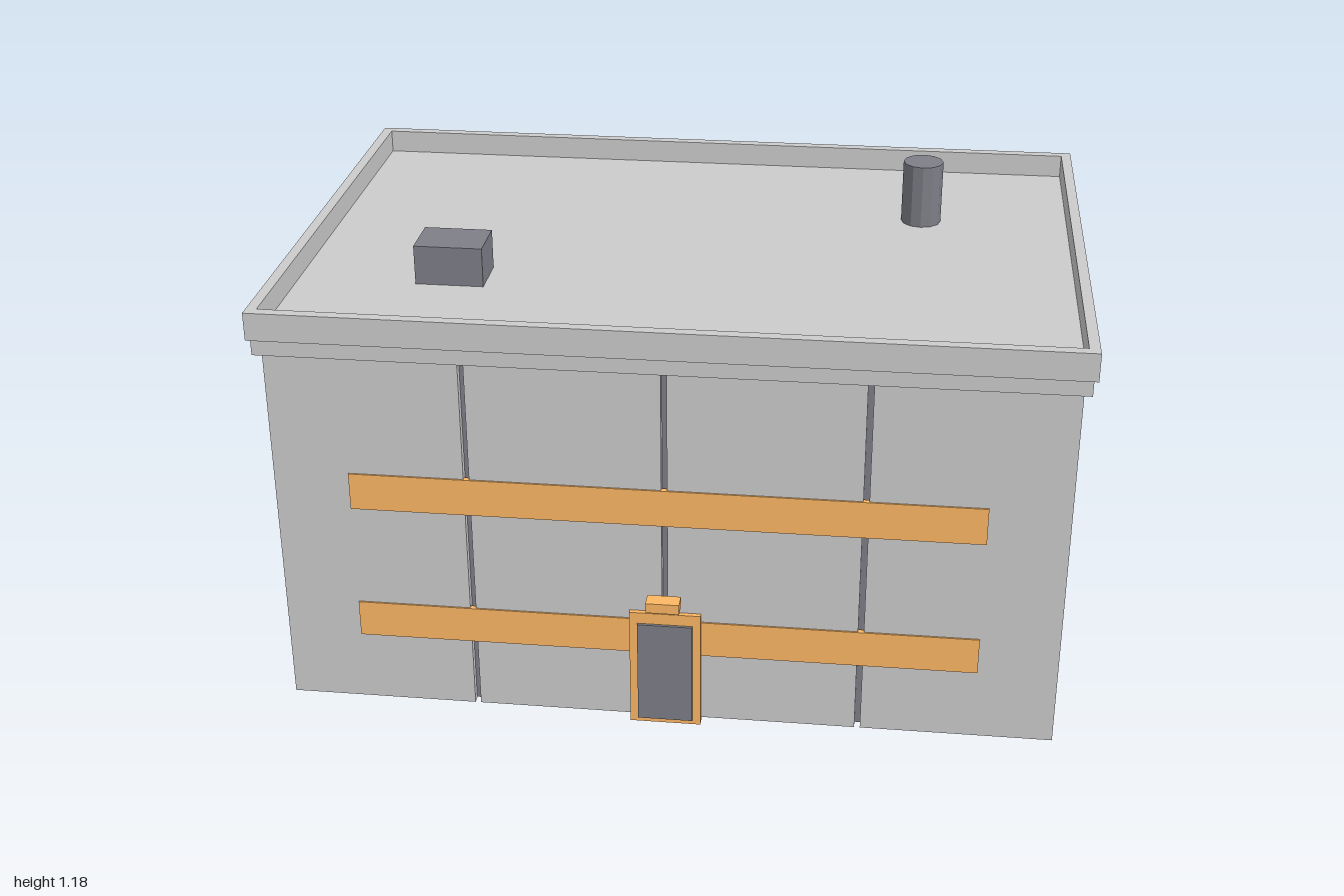
import * as THREE from 'three';

export function createModel() {
  const model = new THREE.Group();
  model.name = 'officeBuilding';
  const light = new THREE.MeshStandardMaterial({ color: 0xcccccc });
  const dark = new THREE.MeshStandardMaterial({ color: 0x7e7f87 });
  const orange = new THREE.MeshStandardMaterial({ color: 0xfdb764 });

  // Box given by its extents on each axis
  function box(name, material, [x0, x1], [y0, y1], [z0, z1], parent = model) {
    const mesh = new THREE.Mesh(new THREE.BoxGeometry(x1 - x0, y1 - y0, z1 - z0), material);
    mesh.position.set((x0 + x1) / 2, (y0 + y1) / 2, (z0 + z1) / 2);
    mesh.name = name;
    parent.add(mesh);
    return mesh;
  }

  const L = -0.94, R = 0.97, B = -0.565, F = 0.71; // outer wall faces
  const T = 0.02, base = 0.015, top = 0.975, seam = 0.007;
  const cx = (L + R) / 2, cz = (B + F) / 2;

  // Dark core that shows through the seams between wall panels
  box('core', dark, [L + T, R - T], [base + 0.002, top], [B + T, F - T]);

  // Splits a wall run into panels at the seams
  function panels(from, to, seams) {
    const edges = [from, ...seams.flatMap((s) => [s - seam, s + seam]), to];
    return edges.filter((_, i) => i % 2 === 0).map((a, i) => [a, edges[2 * i + 1]]);
  }
  for (const run of panels(L, R, [-0.466, 0.012, 0.491])) {
    box('frontWallPanel', light, run, [base, top], [F - T, F]);
    box('backWallPanel', light, run, [base, top], [B, B + T]);
  }
  for (const run of panels(B + T, F - T, [-0.14, 0.287])) {
    box('leftWallPanel', light, [R - T, R], [base, top], run);
    box('rightWallPanel', light, [L, L + T], [base, top], run);
  }

  // Window bands on the front and both sides
  for (const [y, leftMaterial] of [[[0.2, 0.295], dark], [[0.56, 0.656], orange]]) {
    box('frontWindowBand', orange, [-0.755, 0.777], y, [F - 0.01, F + 0.004]);
    box('leftWindowBand', leftMaterial, [R - 0.01, R + 0.004], y, [-0.438, 0.585]);
    box('rightWindowBand', orange, [L - 0.004, L + 0.01], y, [-0.438, 0.585]);
  }

  // Door with frame and lamp, facing +z from the wall plane
  function door(name) {
    const g = new THREE.Group();
    g.name = name;
    box('doorFrame', orange, [-0.088, 0.088], [0, 0.318], [-0.01, 0.012], g);
    box('doorLeaf', dark, [-0.068, 0.068], [0.014, 0.288], [0, 0.019], g);
    box('doorLamp', orange, [-0.041, 0.041], [0.35, 0.376], [0.02, 0.06], g);
    model.add(g);
    return g;
  }
  door('frontDoor').position.set(0.013, 0, F);
  const sideDoor = door('sideDoor');
  sideDoor.position.set(L, 0, 0.198);
  sideDoor.rotation.y = -Math.PI / 2;

  // Roof slab
  box('roofSlab', light, [cx - 0.972, cx + 0.972], [0.97, 1.02], [cz - 0.66, cz + 0.66]);

  // Parapet ring
  const rect = (Type, w, d) => new Type([
    new THREE.Vector2(-w, -d), new THREE.Vector2(w, -d),
    new THREE.Vector2(w, d), new THREE.Vector2(-w, d),
  ]);
  const ring = rect(THREE.Shape, 0.982, 0.667);
  ring.holes.push(rect(THREE.Path, 0.956, 0.64));
  const parapet = new THREE.Mesh(
    new THREE.ExtrudeGeometry(ring, { depth: 0.07, bevelEnabled: false }), light);
  parapet.rotation.x = -Math.PI / 2;
  parapet.position.set(cx, 1.01, cz);
  parapet.name = 'parapet';
  model.add(parapet);

  // Rooftop unit and vent
  box('roofUnit', dark, [-0.645, -0.475], [1.015, 1.12], [0.26, 0.387]);
  const ventMaterial = dark.clone();
  ventMaterial.flatShading = true;
  const vent = new THREE.Mesh(new THREE.CylinderGeometry(0.052, 0.052, 0.17, 12), ventMaterial);
  vent.position.set(0.588, 1.1, -0.186);
  vent.name = 'roofVent';
  model.add(vent);

  // Service shaft behind the back wall
  box('serviceShaft', dark, [0.395, 0.777], [base, 0.97], [-0.77, -0.577]);

  return model;
}
